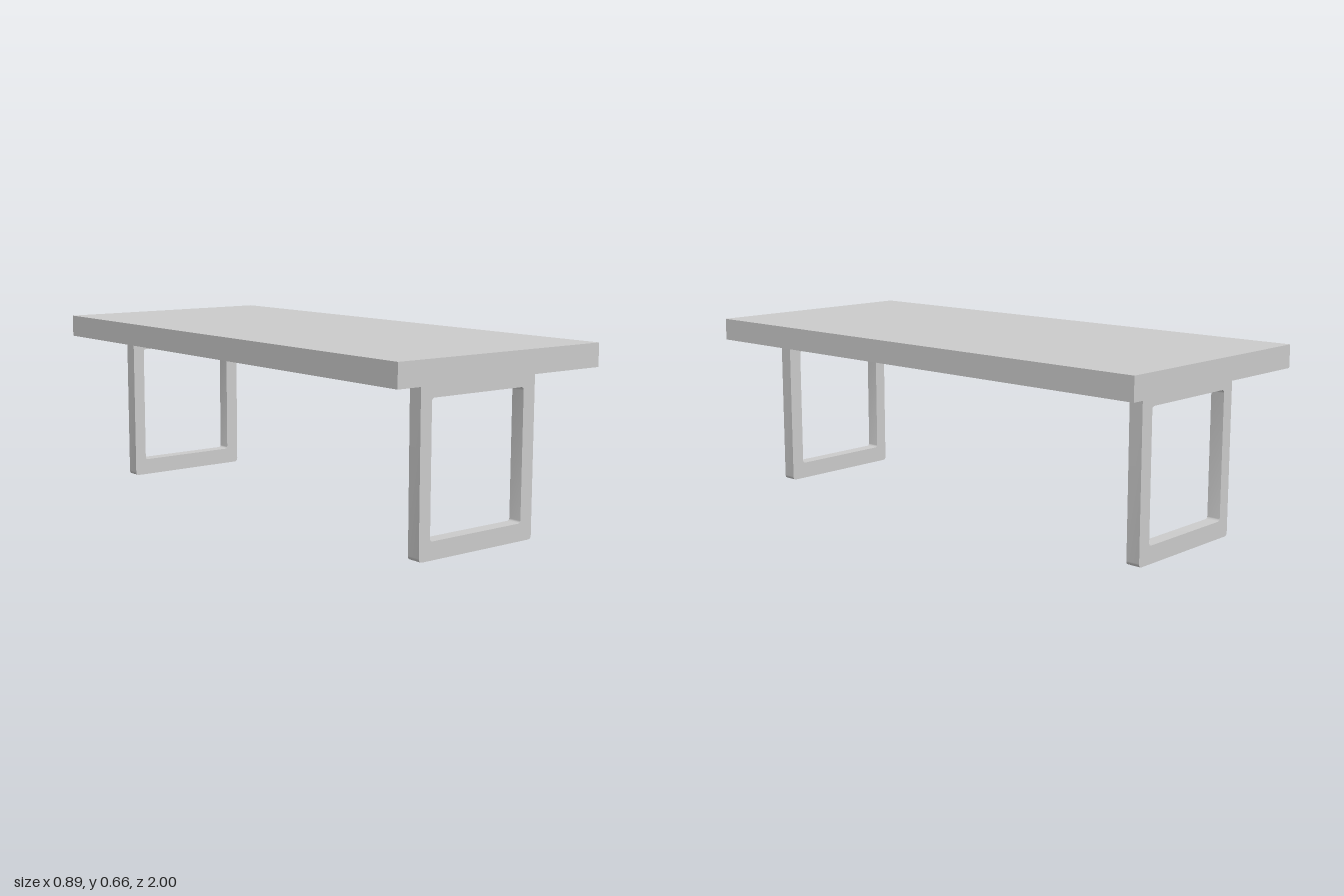
import * as THREE from 'three';
import { toCreasedNormals } from 'three/addons/utils/BufferGeometryUtils.js';

const material = new THREE.MeshStandardMaterial({ color: 0xcccccc });

// Rectangle outline with separate corner radii for the bottom and the top
function roundedRect(path, x0, y0, x1, y1, rBottom, rTop) {
  path.moveTo(x0 + rBottom, y0);
  path.lineTo(x1 - rBottom, y0);
  path.quadraticCurveTo(x1, y0, x1, y0 + rBottom);
  path.lineTo(x1, y1 - rTop);
  if (rTop > 0) path.quadraticCurveTo(x1, y1, x1 - rTop, y1);
  path.lineTo(x0 + rTop, y1);
  if (rTop > 0) path.quadraticCurveTo(x0, y1, x0, y1 - rTop);
  path.lineTo(x0, y0 + rBottom);
  path.quadraticCurveTo(x0, y0, x0 + rBottom, y0);
  return path;
}

export function createModel() {
  const model = new THREE.Group();
  model.name = 'table';

  // Thick slab top
  const top = new THREE.Mesh(new THREE.BoxGeometry(0.888, 0.082, 2), material);
  top.name = 'tableTop';
  top.position.y = 0.621;
  model.add(top);

  // Closed frame legs, rounded at the floor and around the opening
  const outline = roundedRect(new THREE.Shape(), -0.254, 0, 0.254, 0.58, 0.014, 0);
  outline.holes.push(roundedRect(new THREE.Path(), -0.207, 0.062, 0.202, 0.522, 0.012, 0.012));
  const depth = 0.051;
  const frame = toCreasedNormals(
    new THREE.ExtrudeGeometry(outline, { depth, bevelEnabled: false, curveSegments: 6 }),
    Math.PI / 6
  );
  frame.translate(0, 0, -depth / 2);

  for (const [name, z] of [['frontLeg', 0.868], ['backLeg', -0.868]]) {
    const leg = new THREE.Mesh(frame, material);
    leg.name = name;
    leg.position.z = z;
    model.add(leg);
  }

  return model;
}
